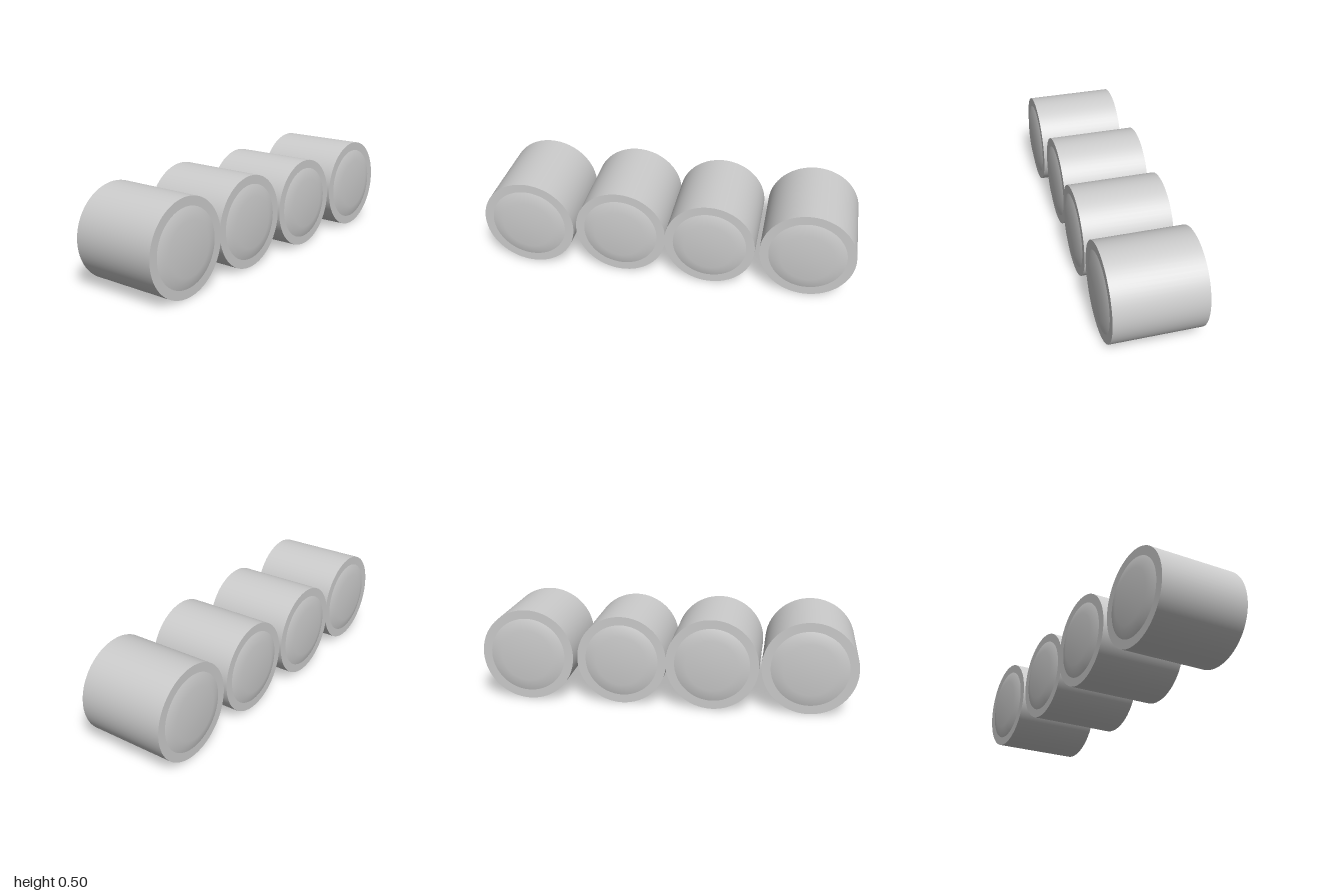
import * as THREE from 'three';

// Each drum: centre x, centre y, radius, back z, front z
const DRUMS = [
  [-0.75, 0.251, 0.249, -0.23, 0.243],
  [-0.245, 0.25, 0.245, -0.243, 0.228],
  [0.238, 0.246, 0.24, -0.23, 0.239],
  [0.75, 0.251, 0.249, -0.23, 0.239],
];
const DOME_HEIGHT = 0.018;
const SEGMENTS = 64;

function createDrum([x, y, radius, back, front], index) {
  const material = new THREE.MeshStandardMaterial({ color: 0xcccccc });
  const drum = new THREE.Group();
  drum.name = `drum${index + 1}`;
  drum.position.set(x, y, 0);

  // Straight cylinder lying along z, with flat end rims
  const bodyGeometry = new THREE.CylinderGeometry(radius, radius, front - back, SEGMENTS);
  bodyGeometry.rotateX(Math.PI / 2);
  const body = new THREE.Mesh(bodyGeometry, material);
  body.name = 'body';
  body.position.z = (front + back) / 2;
  drum.add(body);

  // Shallow, smoothly shaded raised cap on each end
  const profile = [
    new THREE.Vector2(radius * 0.81, 0),
    new THREE.Vector2(radius * 0.56, DOME_HEIGHT),
    new THREE.Vector2(0, DOME_HEIGHT),
  ];
  for (const [name, z, side] of [['frontCap', front, 1], ['backCap', back, -1]]) {
    const capGeometry = new THREE.LatheGeometry(profile, SEGMENTS);
    capGeometry.rotateX(side * Math.PI / 2);
    const cap = new THREE.Mesh(capGeometry, material);
    cap.name = name;
    cap.position.z = z;
    drum.add(cap);
  }
  return drum;
}

export function createModel() {
  const model = new THREE.Group();
  model.name = 'drumRow';
  DRUMS.forEach((spec, i) => model.add(createDrum(spec, i)));
  return model;
}
